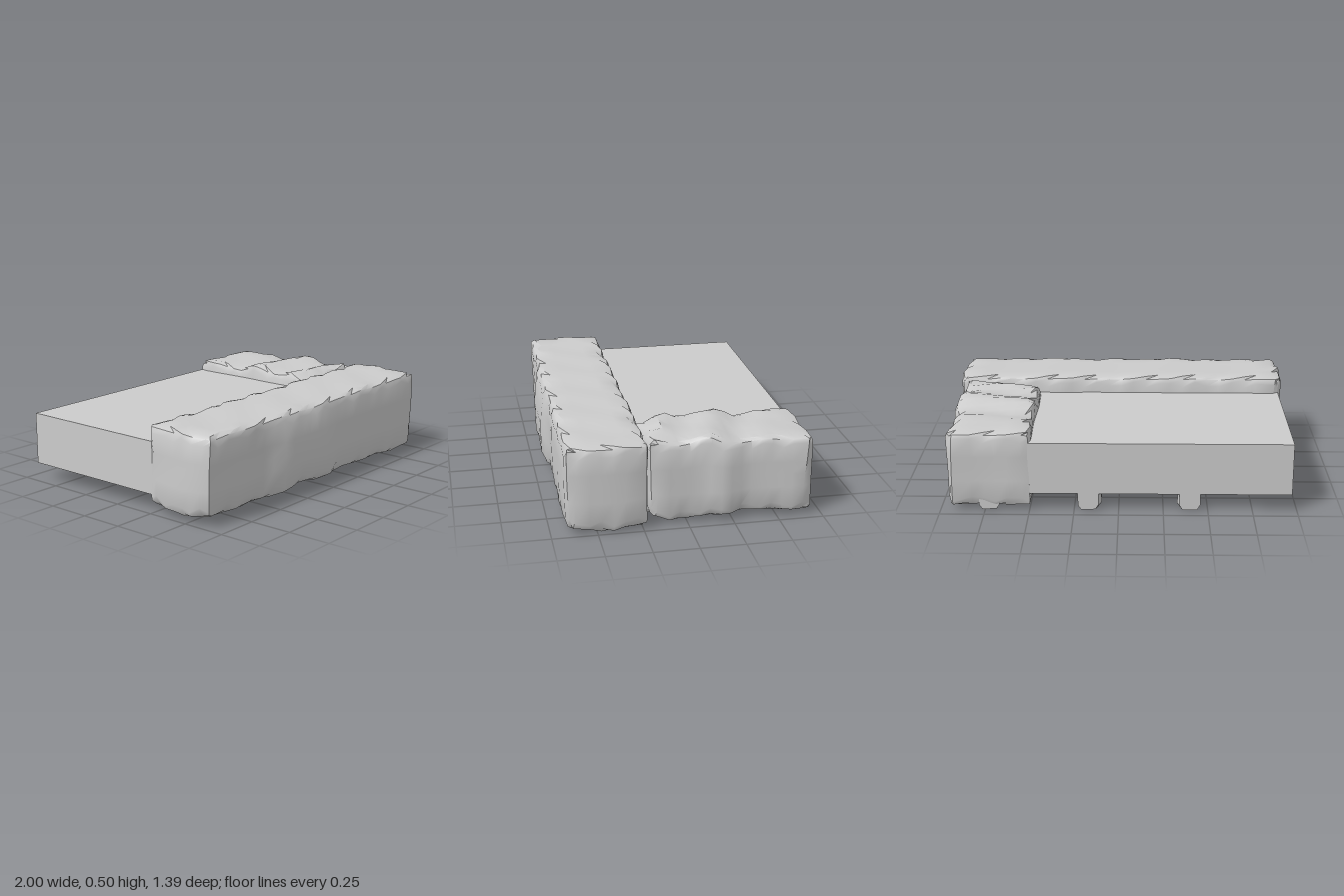
import * as THREE from 'three';
import { toCreasedNormals } from 'three/addons/utils/BufferGeometryUtils.js';

const material = new THREE.MeshStandardMaterial({ color: 0xcccccc });

// Smooth interpolation through [position, value] pairs
function profile(points, t) {
  if (t <= points[0][0]) return points[0][1];
  for (let i = 1; i < points.length; i++) {
    const [a, va] = points[i - 1], [b, vb] = points[i];
    if (t <= b) return va + (vb - va) * THREE.MathUtils.smoothstep(t, a, b);
  }
  return points[points.length - 1][1];
}

// Smooth repeatable unevenness, about -1 to 1
const wobble = (x, y, z, seed) =>
  (Math.sin(x * 9 + y * 5 + seed) + Math.sin(y * 11 - z * 8 + seed * 2.3) + Math.sin(z * 13 + x * 17 + seed * 3.1)) / 3;

// Rough stone block: a gridded box with worn, uneven edges, then reshaped
function stone(name, min, max, segments, radius, seed, reshape) {
  const lo = new THREE.Vector3(...min), hi = new THREE.Vector3(...max);
  const size = hi.clone().sub(lo), mid = hi.clone().add(lo).multiplyScalar(0.5);
  const geo = new THREE.BoxGeometry(size.x, size.y, size.z, ...segments);
  const pos = geo.attributes.position;
  const p = new THREE.Vector3(), core = new THREE.Vector3();
  for (let i = 0; i < pos.count; i++) {
    p.fromBufferAttribute(pos, i);
    const r = radius * (1 + 0.4 * Math.sin(p.x * 31 + p.z * 37 + p.y * 5 + seed));
    ['x', 'y', 'z'].forEach((axis, k) => {
      const half = size[axis] / 2, step = size[axis] / segments[k], a = Math.abs(p[axis]);
      // grid line next to each edge marks where the rounding begins
      if (a < half - 0.01 * step && a > half - 1.01 * step) p[axis] = Math.sign(p[axis]) * (half - r);
      core[axis] = THREE.MathUtils.clamp(p[axis], r - half, half - r);
    });
    p.sub(core).setLength(r).add(core);
    const u = p.clone().divide(size).multiplyScalar(2);
    p.add(mid);
    const n = 0.006 * wobble(p.x, p.y, p.z, seed);
    p.addScaledVector(u, n);
    reshape(p, u);
    pos.setXYZ(i, p.x, p.y, p.z);
  }
  const mesh = new THREE.Mesh(toCreasedNormals(geo, 0.65), material);
  mesh.name = name;
  return mesh;
}

// Support beam with a tapering, chamfered front end
function beam(x, tip, seed) {
  const sections = [[-0.68, 0.9], [-0.64, 1], [-0.35, 0.95], [0, 1], [0.2, 0.95], [0.45, tip]];
  const outline = [[-0.065, 0.12], [-0.065, 0.045], [-0.045, 0.015], [0.045, 0.012], [0.065, 0.04], [0.065, 0.12]];
  const n = outline.length, verts = [], index = [];
  sections.forEach(([z, s], i) => outline.forEach(([ox, oy]) =>
    verts.push(x + ox * s + 0.006 * Math.sin(i * 2 + seed), oy + (1 - s) * 0.015, z)));
  for (let i = 0; i < sections.length - 1; i++) for (let j = 0; j < n; j++) {
    const a = i * n + j, b = i * n + (j + 1) % n;
    index.push(a, a + n, b, b, a + n, b + n);
  }
  const last = (sections.length - 1) * n;
  for (let j = 1; j < n - 1; j++) index.push(0, j, j + 1, last, last + j + 1, last + j);
  const geo = new THREE.BufferGeometry();
  geo.setAttribute('position', new THREE.Float32BufferAttribute(verts, 3));
  geo.setIndex(index);
  const mesh = new THREE.Mesh(toCreasedNormals(geo, 0.5), material);
  mesh.material = material.clone();
  mesh.material.side = THREE.DoubleSide;
  mesh.name = 'supportBeam';
  return mesh;
}

export function createModel() {
  const model = new THREE.Group();

  // Flat slab enclosed by the two stones
  const slab = new THREE.Mesh(new THREE.BoxGeometry(1.72, 0.3, 1.1), material);
  slab.position.set(-0.11, 0.26, -0.13);
  slab.name = 'slab';
  model.add(slab);

  // Long front stone
  const frontFace = [[-1, -0.015], [-0.5, -0.015], [-0.38, 0.025], [0, 0.025], [0.15, 0], [1, 0.002]];
  const frontBase = [[-1, 0.012], [-0.7, 0.01], [-0.45, 0], [-0.2, 0.03], [0, 0.005], [0.5, 0], [0.9, -0.015]];
  model.add(stone('frontStone', [-0.99, 0.05, 0.22], [0.99, 0.505, 0.67], [26, 6, 7], 0.045, 1.7, (p, u) => {
    if (u.z > 0.2) p.z += profile(frontFace, p.x) * THREE.MathUtils.clamp(1.1 - u.y, 0, 1);
    if (u.y < 0) p.y += (profile(frontBase, p.x) - 0.02 * (1 - Math.abs(u.z))) * -u.y;
    // ends bow outward slightly
    p.x += 0.012 * u.x * (1 - u.z * u.z) - 0.006 * u.x;
  }));

  // Side stone with a wavy top
  const sideTop = [[-0.69, -0.01], [-0.45, 0.005], [-0.32, -0.012], [-0.17, 0.035], [0, -0.002], [0.12, 0.025], [0.22, -0.02]];
  const sideBase = [[-0.69, -0.01], [-0.3, 0.005], [0.1, -0.02], [0.22, 0.03]];
  const sideFace = [[-0.69, 0.005], [-0.32, -0.01], [-0.2, 0.02], [-0.08, -0.008], [0.22, 0]];
  model.add(stone('sideStone', [0.49, 0.045, -0.69], [0.95, 0.475, 0.215], [7, 6, 16], 0.04, 4.2, (p, u) => {
    const y = u.y;
    if (y > 0) p.y += profile(sideTop, p.z - 0.06 * u.x) * y;
    else p.y -= profile(sideBase, p.z) * y;
    if (u.x > 0) p.x += profile(sideFace, p.z) * u.x;
  }));

  // Beams under the slab
  [[-0.4, 0.7], [0.165, 0.45], [0.73, 0.75]].forEach(([x, tip], i) => model.add(beam(x, tip, i * 1.9)));
  return model;
}
